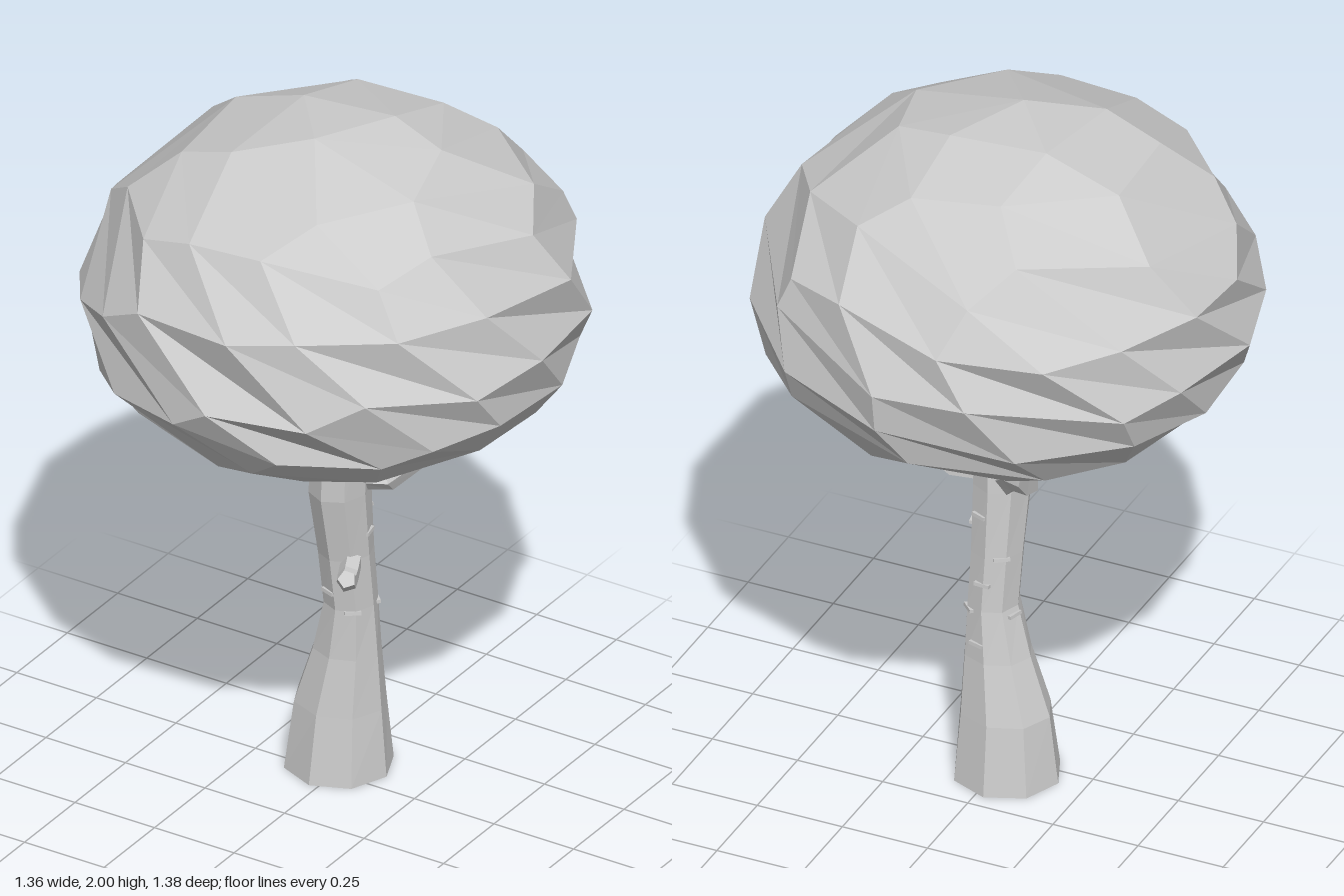
import * as THREE from 'three';

const bark = new THREE.MeshStandardMaterial({ color: 0xcccccc, flatShading: true, side: THREE.DoubleSide });
const leaf = new THREE.MeshStandardMaterial({ color: 0xcccccc, flatShading: true });

// Faceted ball, loosened a little, twisted about y and shaped into a flat egg
function makeCrown() {
  const geo = new THREE.IcosahedronGeometry(1, 2);
  geo.rotateZ(-Math.atan(2 / (1 + Math.sqrt(5))) + 0.2).rotateX(-0.1);
  const p = geo.attributes.position;
  const v = new THREE.Vector3();
  const up = new THREE.Vector3(0, 1, 0);
  for (let i = 0; i < p.count; i++) {
    v.fromBufferAttribute(p, i);
    v.set(
      v.x + 0.05 * Math.sin(9 * v.z + 4 * v.y),
      v.y + 0.05 * Math.sin(8 * v.x - 5 * v.z),
      v.z + 0.05 * Math.sin(7 * v.y + 6 * v.x)).normalize();
    const latitude = Math.asin(v.y);
    v.applyAxisAngle(up, -1.3 * Math.max(latitude, -0.75));
    p.setXYZ(i, v.x * 0.685, 1.465 + v.y * (v.y > 0 ? 0.54 : 0.43), v.z * 0.692);
  }
  geo.computeVertexNormals();
  const mesh = new THREE.Mesh(geo, leaf);
  mesh.name = 'crown';
  return mesh;
}

// Skin a list of rings, each an array of Vector3, and close the last one
function loft(rings, name) {
  const n = rings[0].length, pos = [], index = [];
  rings.forEach(r => r.forEach(q => pos.push(q.x, q.y, q.z)));
  for (let r = 0; r < rings.length - 1; r++) {
    for (let i = 0; i < n; i++) {
      const a = r * n + i, b = r * n + (i + 1) % n;
      index.push(a, a + n, b, b, a + n, b + n);
    }
  }
  const s = (rings.length - 1) * n;
  for (let i = 1; i < n - 1; i++) index.push(s, s + i + 1, s + i);
  let geo = new THREE.BufferGeometry();
  geo.setAttribute('position', new THREE.Float32BufferAttribute(pos, 3));
  geo.setIndex(index);
  geo = geo.toNonIndexed();
  geo.computeVertexNormals();
  const mesh = new THREE.Mesh(geo, bark);
  mesh.name = name;
  return mesh;
}

// Trunk sections: y, min x, max x, min z, max z
const sections = [
  [0, -0.175, 0.125, -0.207, 0.09],
  [0.2, -0.15, 0.11, -0.177, 0.062],
  [0.37, -0.092, 0.1, -0.143, 0.036],
  [0.52, -0.052, 0.092, -0.125, 0.03],
  [0.68, -0.058, 0.088, -0.113, 0.05],
  [0.88, -0.067, 0.092, -0.1, 0.09],
  [1.12, -0.055, 0.1, -0.085, 0.09],
];

function trunkPoint(s, angle) {
  const [y, x0, x1, z0, z1] = s;
  return new THREE.Vector3(
    (x0 + x1) / 2 + Math.cos(angle) * (x1 - x0) / 2, y,
    (z0 + z1) / 2 + Math.sin(angle) * (z1 - z0) / 2);
}

function makeTrunk() {
  const rings = sections.map(s => Array.from({ length: 8 }, (_, i) => trunkPoint(s, i * Math.PI / 4)));
  return loft(rings, 'trunk');
}

// Five-sided limb along a bent path, points are [x, y, z, radius]
function makeBranch(name, path) {
  const pts = path.map(q => new THREE.Vector3(q[0], q[1], q[2]));
  const rings = pts.map((c, k) => {
    const dir = pts[Math.min(k + 1, pts.length - 1)].clone().sub(pts[Math.max(k - 1, 0)]).normalize();
    const side = new THREE.Vector3(-dir.z, 0, dir.x).normalize();
    const over = dir.clone().cross(side);
    return Array.from({ length: 5 }, (_, i) => {
      const a = -i * Math.PI * 2 / 5;
      return c.clone().addScaledVector(side, Math.cos(a) * path[k][3])
        .addScaledVector(over, Math.sin(a) * path[k][3]);
    });
  });
  return loft(rings, name);
}

// Thin ledge lying across the bark at a given height and angle
function makeBarkNick(y, angle) {
  const k = sections.findIndex(s => s[0] > y);
  const a = sections[k - 1], b = sections[k];
  const t = (y - a[0]) / (b[0] - a[0]);
  const s = a.map((q, i) => q + (b[i] - q) * t);
  const mesh = new THREE.Mesh(new THREE.BoxGeometry(0.02, 0.01, 0.045), bark);
  mesh.position.copy(trunkPoint(s, angle));
  mesh.position.x -= Math.cos(angle) * 0.008;
  mesh.position.z -= Math.sin(angle) * 0.008;
  mesh.rotation.set(0, -angle, 0.1);
  mesh.name = 'barkNick';
  return mesh;
}

export function createModel() {
  const tree = new THREE.Group();
  tree.name = 'tree';
  tree.add(makeCrown(), makeTrunk());

  tree.add(
    makeBranch('backRightBranch', [
      [0, 0.88, -0.02, 0.05], [-0.06, 0.945, -0.09, 0.036],
      [-0.15, 1.0, -0.19, 0.028], [-0.17, 1.09, -0.215, 0.022]]),
    makeBranch('leftBranch', [
      [0.05, 0.91, -0.03, 0.034], [0.135, 0.915, -0.06, 0.03], [0.205, 0.98, -0.09, 0.024]]),
    makeBranch('lowerStub', [
      [0.06, 0.675, 0.01, 0.03], [0.085, 0.665, 0.065, 0.03],
      [0.105, 0.67, 0.105, 0.028], [0.12, 0.695, 0.13, 0.025]]));

  const nicks = new THREE.Group();
  nicks.name = 'barkNicks';
  [[0.57, 1.9], [0.515, 0.9], [0.51, -0.8], [0.75, -0.2], [0.42, -1.3],
    [0.6, -1.5], [0.68, -2.2], [0.8, -1.2], [0.5, 3.4]]
    .forEach(([y, angle]) => nicks.add(makeBarkNick(y, angle)));
  tree.add(nicks);
  return tree;
}
